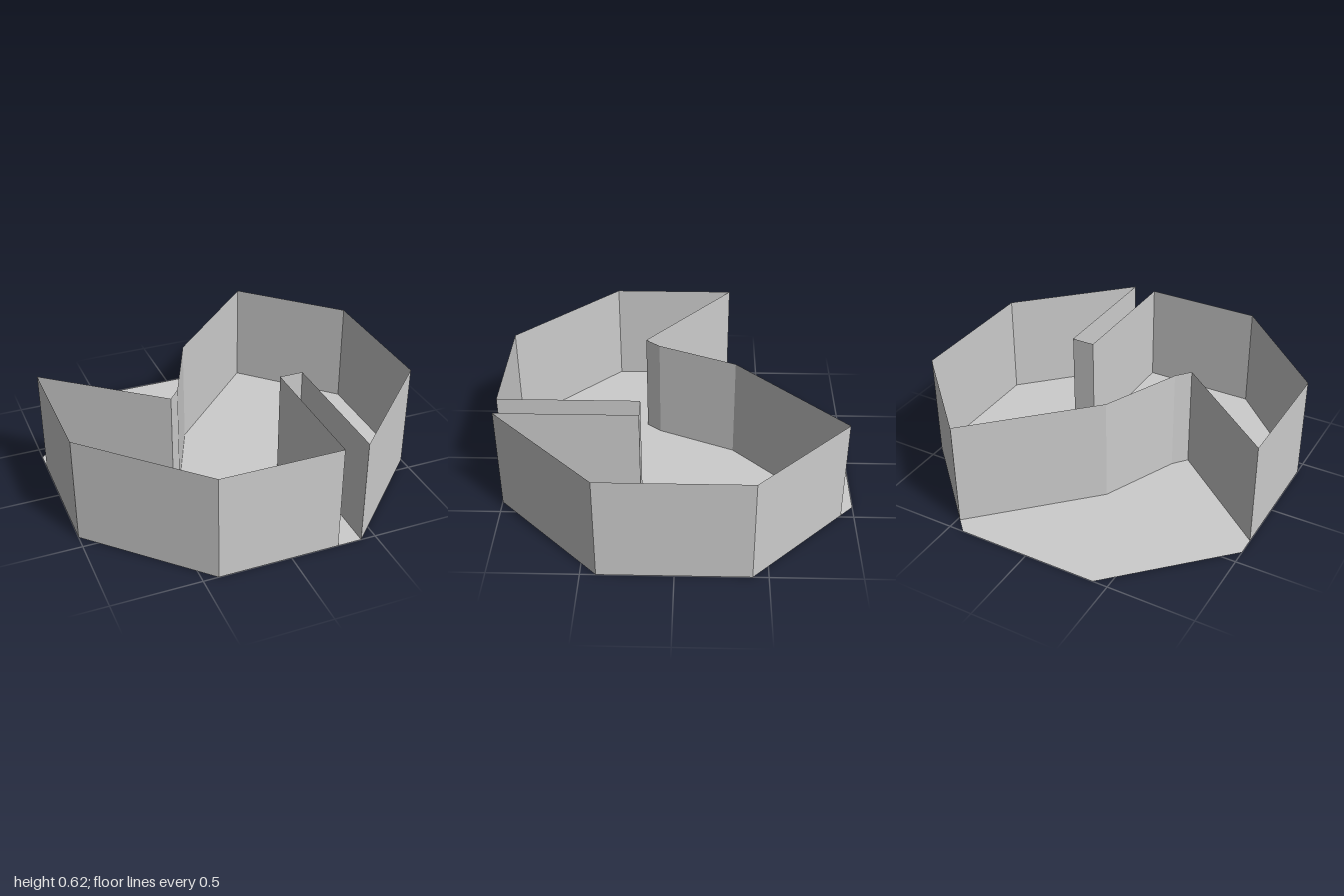
import * as THREE from 'three';

const WALL_HEIGHT = 0.62;

// Plan of the wall as [x, z], anticlockwise seen from above
const PLAN = [
  [-1, -0.305], [-1, 0.414], [-0.414, 1],                    // left side
  [0.276, 1], [0.276, 0.205], [0.414, 0.205], [0.414, 1],    // front slot
  [1, 0.414], [1, -0.414],                                   // right side
  [0.486, -0.928], [-0.116, -0.328], [-0.311, 0.122], [-0.378, 0.204], // rear recess
];

// Flat upright panels, one along each side of a closed plan
function wallGeometry(plan, height) {
  const positions = [];
  plan.forEach(([x0, z0], i) => {
    const [x1, z1] = plan[(i + 1) % plan.length];
    positions.push(x0, 0, z0, x1, 0, z1, x1, height, z1);
    positions.push(x0, 0, z0, x1, height, z1, x0, height, z0);
  });
  const geometry = new THREE.BufferGeometry();
  geometry.setAttribute('position', new THREE.Float32BufferAttribute(positions, 3));
  geometry.computeVertexNormals();
  return geometry;
}

export function createModel() {
  const model = new THREE.Group();
  model.name = 'octagonalEnclosure';

  const grey = new THREE.MeshStandardMaterial({ color: 0xcccccc, side: THREE.DoubleSide });
  grey.name = 'light grey';

  // Octagonal floor sheet
  const floorGeometry = new THREE.CircleGeometry(1 / Math.cos(Math.PI / 8), 8, Math.PI / 8);
  floorGeometry.rotateX(-Math.PI / 2);
  const floor = new THREE.Mesh(floorGeometry, grey);
  floor.name = 'floor';

  // Thin wall, open at the top
  const wall = new THREE.Mesh(wallGeometry(PLAN, WALL_HEIGHT), grey);
  wall.name = 'wall';

  model.add(floor, wall);
  return model;
}
